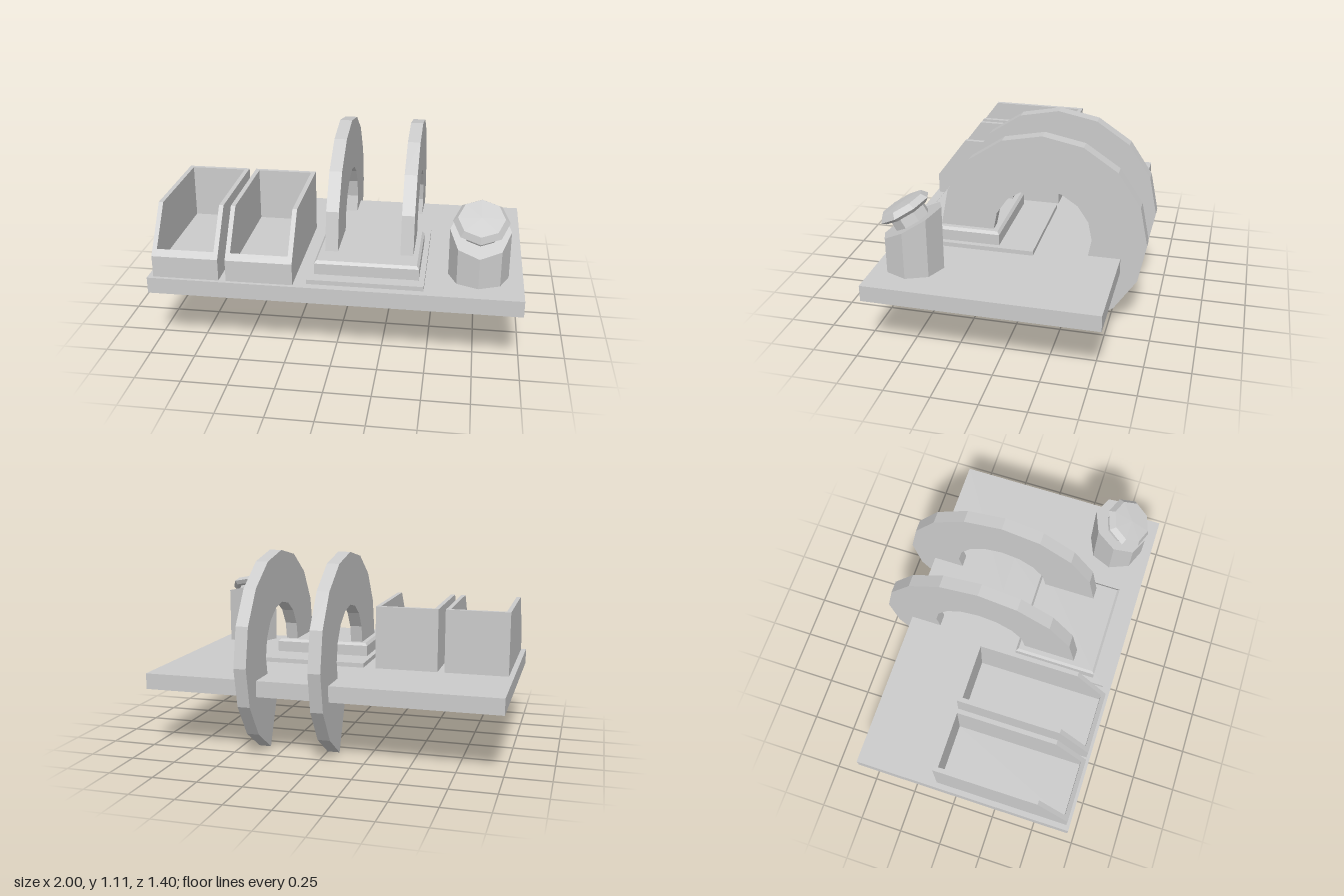
import * as THREE from 'three';

const material = new THREE.MeshStandardMaterial({ color: 0xcccccc, flatShading: true });

function add(parent, name, geometry) {
  const mesh = new THREE.Mesh(geometry, material);
  mesh.name = name;
  parent.add(mesh);
  return mesh;
}

// Box given by its limits on each axis
function span(x0, x1, y0, y1, z0, z1) {
  return new THREE.BoxGeometry(x1 - x0, y1 - y0, z1 - z0)
    .translate((x0 + x1) / 2, (y0 + y1) / 2, (z0 + z1) / 2);
}

// Side profile of [z, y] points, extruded from x0 to x1
function profile(points, x0, x1) {
  const shape = new THREE.Shape(points.map(([z, y]) => new THREE.Vector2(z, y)));
  return new THREE.ExtrudeGeometry(shape, { depth: x1 - x0, bevelEnabled: false })
    .rotateY(-Math.PI / 2).translate(x1, 0, 0);
}

// Open bin with a sloped front
function makeBin(x0) {
  const bin = new THREE.Group();
  bin.name = 'bin';
  const x1 = x0 + 0.36, t = 0.025, back = -0.085, front = 0.68, base = 0.44, lip = 0.56;
  const side = [[back, base], [front, base], [front, lip], [0.5, 0.8], [back, 0.8]];
  add(bin, 'binLeftWall', profile(side, x1 - t, x1));
  add(bin, 'binRightWall', profile(side, x0, x0 + t));
  add(bin, 'binBack', span(x0 + t, x1 - t, base, 0.8, back, back + t));
  add(bin, 'binFloor', span(x0 + t, x1 - t, base, 0.5, back + t, front - t));
  add(bin, 'binFront', profile(
    [[front - t, base], [front, base], [front, lip], [front - t, lip + t * 4 / 3]], x0 + t, x1 - t));
  return bin;
}

// Faceted arch that curls over and behind the board
function archGeometry(x0) {
  const outer = [], inner = [];
  for (let i = 0; i <= 11; i++) {
    const a = i * Math.PI / 8, c = Math.cos(a), s = Math.sin(a);
    outer.push([-0.125 + 0.575 * c, 0.535 + 0.575 * s]);
    inner.unshift([-0.125 + 0.275 * c, 0.535 + 0.275 * s]);
  }
  return profile([...outer, ...inner], x0, x0 + 0.07);
}

// Eight-sided post with a slanted top and a tilted knob
function makeKnob() {
  const knob = new THREE.Group();
  knob.name = 'knob';
  knob.position.set(0.76, 0, 0.48);
  const tilt = Math.PI / 6, top = 0.725;
  const post = new THREE.CylinderGeometry(0.16, 0.16, top - 0.465, 8);
  post.translate(0, (top + 0.465) / 2, 0);
  const p = post.attributes.position;
  for (let i = 0; i < p.count; i++) {
    if (p.getY(i) > 0.6) p.setY(i, top - p.getZ(i) * Math.tan(tilt));
  }
  add(knob, 'knobPost', post);
  const points = [[0.1, -0.01], [0.1, 0.058], [0.125, 0.058], [0.147, 0.076], [0.122, 0.107], [0, 0.112]]
    .map(([r, y]) => new THREE.Vector2(r, y));
  const head = add(knob, 'knobHead', new THREE.LatheGeometry(points, 8));
  head.position.y = top;
  head.rotation.x = tilt;
  return knob;
}

export function createModel() {
  const model = new THREE.Group();
  model.name = 'traySet';
  add(model, 'baseBoard', span(-1, 1, 0.35, 0.44, -0.56, 0.7));

  for (const x of [-0.97, -0.57]) model.add(makeBin(x));

  // Stepped pad with a chamfered top edge
  add(model, 'lowerPad', span(-0.14, 0.48, 0.44, 0.465, -0.09, 0.655));
  add(model, 'upperPad', span(-0.11, 0.45, 0.465, 0.527, 0.107, 0.583));
  const cap = span(-0.11, 0.45, 0.527, 0.542, 0.107, 0.583);
  const p = cap.attributes.position;
  for (let i = 0; i < p.count; i++) {
    if (p.getY(i) < 0.535) continue;
    p.setX(i, p.getX(i) - 0.013 * Math.sign(p.getX(i) - 0.17));
    p.setZ(i, p.getZ(i) - 0.013 * Math.sign(p.getZ(i) - 0.345));
  }
  add(model, 'upperPadChamfer', cap);

  for (const x of [-0.07, 0.34]) add(model, 'arch', archGeometry(x));

  model.add(makeKnob());
  return model;
}
